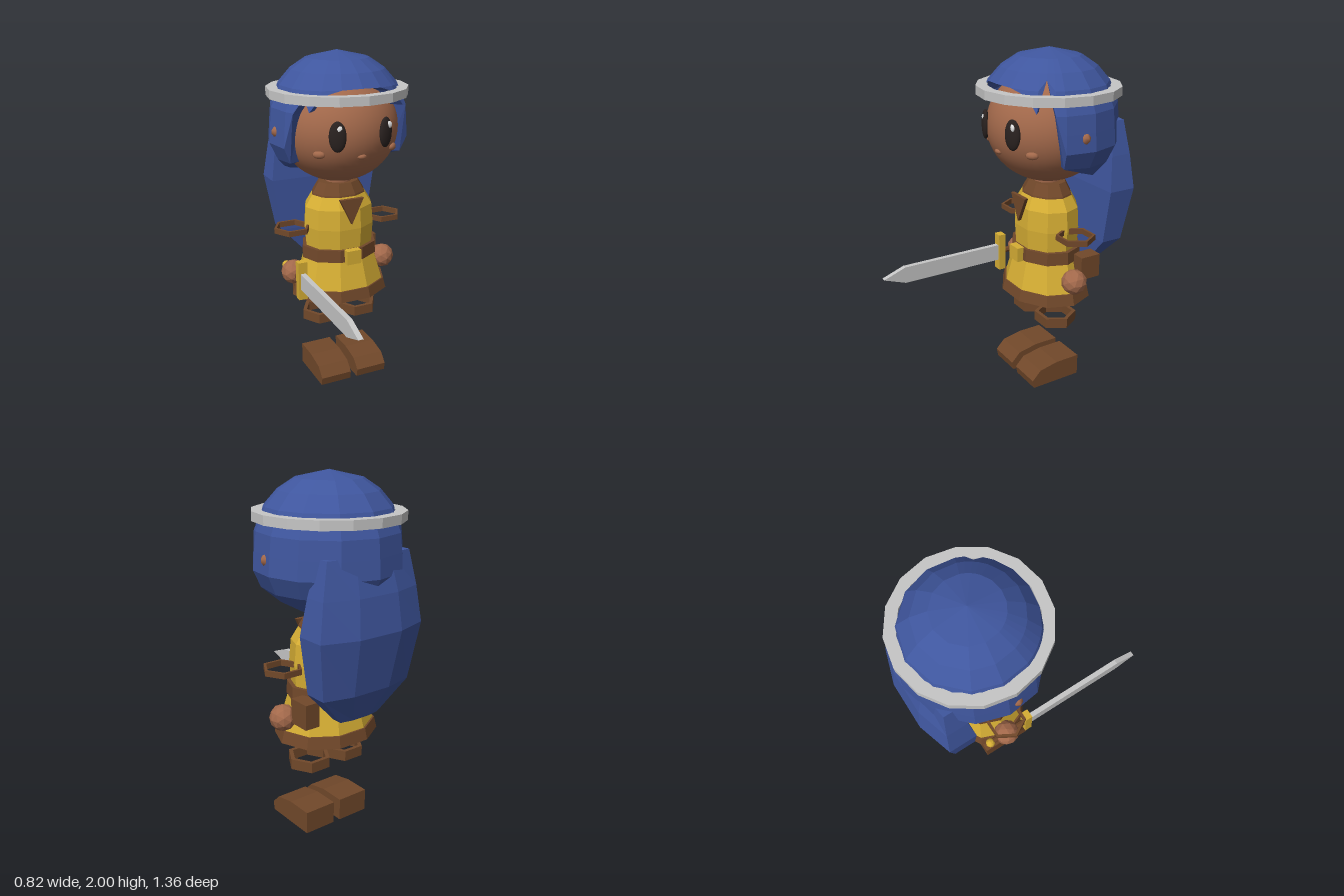
import * as THREE from 'three';

const mat = (name, color) => {
  const m = new THREE.MeshStandardMaterial({ color });
  m.name = name;
  return m;
};
const CZ = -0.25; // depth of the body's axis

// Faceted normals for the low-poly parts
function flat(geo) {
  const g = geo.index ? geo.toNonIndexed() : geo;
  g.computeVertexNormals();
  return g;
}

// Surface of revolution from bottom to top
function lathe(points, sides, phi = 0) {
  return flat(new THREE.LatheGeometry(points.map(p => new THREE.Vector2(p[0], p[1])), sides, phi));
}
const ring = (ro, ri, y0, y1, sides, phi) =>
  lathe([[ro, y0], [ro, y1], [ri, y1], [ri, y0], [ro, y0]], sides, phi);

// Skin over closed loops of points, listed from top to bottom
function loft(rows) {
  const n = rows[0].length, pos = [];
  for (let i = 0; i < rows.length - 1; i++) {
    for (let j = 0; j < n; j++) {
      const k = (j + 1) % n;
      const a = rows[i][j], b = rows[i + 1][j], c = rows[i + 1][k], d = rows[i][k];
      pos.push(...a, ...b, ...c, ...a, ...c, ...d);
    }
  }
  const g = new THREE.BufferGeometry();
  g.setAttribute('position', new THREE.Float32BufferAttribute(pos, 3));
  g.computeVertexNormals();
  return g;
}

// Side outline given as [z, y], extruded across x
function sideExtrude(outline, width) {
  const shape = new THREE.Shape(outline.map(p => new THREE.Vector2(-p[0], p[1])));
  const g = new THREE.ExtrudeGeometry(shape, { depth: width, bevelEnabled: false });
  return flat(g.translate(0, 0, -width / 2).rotateY(Math.PI / 2));
}

export function createModel() {
  const skin = mat('skin', 0xa3694b), blue = mat('hairBlue', 0x3f569e);
  const yellow = mat('tunicYellow', 0xd6ae34), brown = mat('leatherBrown', 0x71482a);
  const silver = mat('silver', 0xc6c6c6), dark = mat('eyeDark', 0x2a2220);
  const white = mat('eyeWhite', 0xf4f4f4);

  const root = new THREE.Group();
  root.name = 'swordFigure';
  const add = (name, geo, material, x = 0, y = 0, z = 0) => {
    const m = new THREE.Mesh(geo, material);
    m.name = name;
    m.position.set(x, y, z);
    root.add(m);
    return m;
  };
  const box = (w, h, d) => new THREE.BoxGeometry(w, h, d);
  const ball = (rx, ry, rz, n = 16) => new THREE.SphereGeometry(1, n, Math.ceil(n * 0.7)).scale(rx, ry, rz);

  // Head and neck
  add('head', new THREE.SphereGeometry(1, 40, 28).scale(0.35, 0.32, 0.35), skin, 0, 1.57, CZ);
  add('neck', new THREE.CylinderGeometry(0.08, 0.08, 0.07, 10), skin, 0, 1.25, CZ);
  add('nose', ball(0.03, 0.016, 0.02, 8), skin, 0, 1.457, 0.072);

  // Face features, mirrored
  for (const s of [-1, 1]) {
    const eye = add('eye', ball(0.048, 0.085, 0.022, 20), dark, s * 0.145, 1.58, 0.072);
    eye.rotation.y = s * 0.42;
    add('eyeHighlight', ball(0.02, 0.02, 0.008, 10), white, s * 0.147 + 0.012, 1.622, s > 0 ? 0.083 : 0.088);
    const cheek = add('cheek', ball(0.036, 0.022, 0.02, 10), skin, s * 0.225, 1.475, 0.0);
    cheek.rotation.y = s * 0.7;
    add('ear', ball(0.06, 0.04, 0.035, 10), skin, s * 0.352, 1.573, -0.23);
  }

  // Hair cap: a round shell cut off at a hairline that varies around the head
  const profile = [[2.0, 0], [1.96, 0.18], [1.9, 0.27], [1.82, 0.34], [1.7, 0.39],
    [1.6, 0.4], [1.5, 0.408], [1.4, 0.362], [1.31, 0.285]];
  const radiusAt = y => {
    let i = 1;
    while (i < profile.length - 1 && profile[i][0] > y) i++;
    const [y0, r0] = profile[i - 1], [y1, r1] = profile[i];
    return r0 + (r1 - r0) * (y - y0) / (y1 - y0);
  };
  const hairline = [[0, 1.828], [20, 1.824], [38, 1.79], [47, 1.71], [54, 1.78], [62, 1.69],
    [70, 1.41], [95, 1.36], [120, 1.31], [150, 1.31], [180, 1.31]];
  const columns = [
    ...hairline.map(([a, y]) => [a, a === 54 ? 1.87 : y]), // parting on the left side
    ...hairline.slice(1, -1).reverse().map(([a, y]) => [360 - a, y]),
  ];
  const point = (deg, r, y) => {
    const a = THREE.MathUtils.degToRad(deg);
    return [r * Math.sin(a), y, CZ + r * Math.cos(a)];
  };
  const hairRows = profile.map(([y]) => columns.map(([deg, low]) => {
    const h = Math.max(y, low);
    return point(deg, radiusAt(h), h);
  }));
  // Lip that closes the shell against the head
  hairRows.push(columns.map(([deg, low]) => {
    const k = (low - 1.57) / 0.32;
    return point(deg, 0.34 * Math.sqrt(Math.max(0, 1 - k * k)), low);
  }));
  add('hairCap', loft(hairRows), blue);

  // Long hair down the back: [y, half width, back z, side z, inner z]
  const tailRows = [
    [1.61, 0.27, -0.6, -0.575, -0.5],
    [1.42, 0.31, -0.655, -0.6, -0.475],
    [1.22, 0.34, -0.682, -0.62, -0.455],
    [0.9, 0.29, -0.625, -0.585, -0.455],
    [0.725, 0.13, -0.545, -0.53, -0.47],
  ].map(([y, w, zo, zs, zi]) => [
    [w, y, zi], [w, y, zs], [0.41 * w, y, zo], [-0.41 * w, y, zo], [-w, y, zs], [-w, y, zi]]);
  const cap = (row) => row.map(() => [0, row[0][1], (row[0][2] + row[2][2]) / 2]);
  add('backHair', loft([cap(tailRows[0]), ...tailRows, cap(tailRows[4])]), blue);

  // Headband
  add('headband', ring(0.408, 0.345, 1.75, 1.8, 16, 0), silver, 0, 0, CZ);

  // Tunic, ten-sided and flattened front to back
  const body = (name, pts, material) => {
    add(name, lathe(pts, 10, Math.PI / 10).scale(1, 1, 0.83), material, 0, 0, CZ);
  };
  body('collar', [[0.168, 1.17], [0.165, 1.18], [0.125, 1.245], [0, 1.245]], brown);
  body('tunicTop', [[0.21, 0.84], [0.221, 0.98], [0.212, 1.1], [0.165, 1.175]], yellow);
  body('belt', [[0, 0.785], [0.238, 0.785], [0.235, 0.86], [0, 0.86]], brown);
  body('skirt', [[0, 0.56], [0.285, 0.56], [0.283, 0.61], [0.225, 0.8]], yellow);
  body('skirtTrim', [[0.284, 0.55], [0.31, 0.55], [0.293, 0.615], [0.27, 0.615]], brown);

  // Neckline, buckle and pouch
  const vee = new THREE.Shape([[-0.075, 1.175], [0, 1.02], [0.075, 1.175]].map(p => new THREE.Vector2(...p)));
  add('neckline', new THREE.ExtrudeGeometry(vee, { depth: 0.022, bevelEnabled: false }), brown, 0, 0, -0.075);
  add('buckle', box(0.09, 0.085, 0.045), yellow, 0, 0.822, -0.047);
  add('pouch', box(0.09, 0.14, 0.13), brown, 0.243, 0.76, -0.375);

  // Hands, cuffs and boots, mirrored
  const boot = [[-0.36, 0], [-0.04, 0], [-0.03, 0.05], [-0.085, 0.107], [-0.205, 0.13], [-0.36, 0.13]];
  for (const s of [-1, 1]) {
    add('hand', flat(new THREE.IcosahedronGeometry(0.075, 1)), skin, s * 0.3, 0.702, CZ);
    add('sleeveCuff', ring(0.112, 0.096, 0.965, 0.997, 6, Math.PI / 6), brown, s * 0.3, 0, CZ);
    add('legCuff', ring(0.125, 0.1, 0.37, 0.43, 6, Math.PI / 6), brown, s * 0.12, 0, CZ);
    add('boot', sideExtrude(boot, 0.195), brown, s * 0.12, 0, 0);
  }

  // Sword held in the right hand, pointing forward
  const SX = -0.302;
  add('blade', sideExtrude([[-0.1, 0.65], [0.545, 0.65], [0.68, 0.7], [0.545, 0.75], [-0.1, 0.75]], 0.03), silver, SX);
  add('guard', box(0.055, 0.235, 0.045), yellow, SX, 0.702, -0.11);
  add('grip', flat(new THREE.CylinderGeometry(0.018, 0.018, 0.25, 8).rotateX(Math.PI / 2)), brown, SX, 0.702, -0.235);
  add('pommel', flat(new THREE.IcosahedronGeometry(0.028, 1)), yellow, SX, 0.702, -0.365);

  return root;
}
